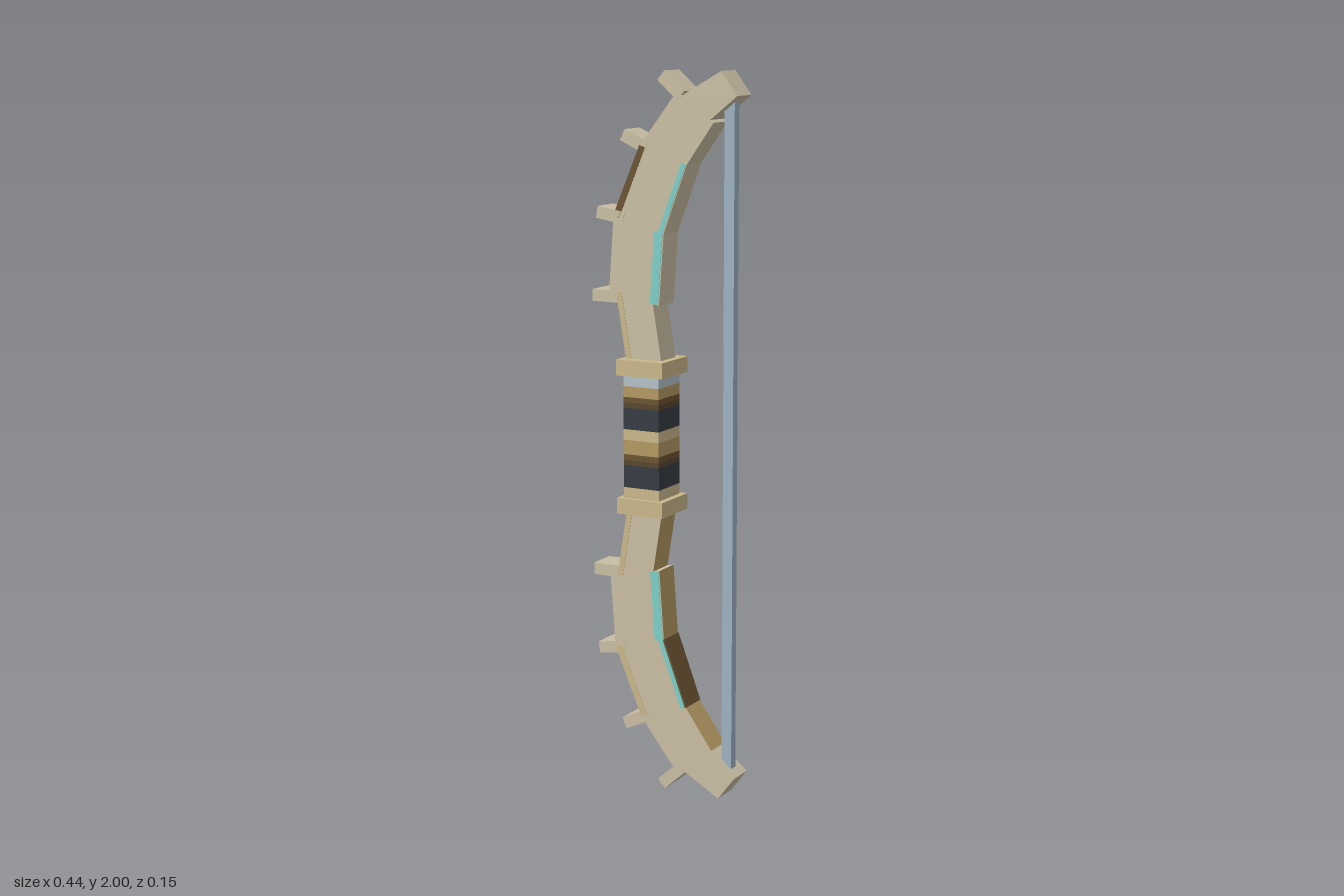
import * as THREE from 'three';

const mat = (name, color) => {
  const m = new THREE.MeshStandardMaterial({ color });
  m.name = name;
  return m;
};
const bone = mat('bone', 0xc9bea3);
const tan = mat('tan', 0xb39760);
const sand = mat('sand', 0xc9b78a);
const brown = mat('brown', 0x6a5230);
const darkBrown = mat('darkBrown', 0x57452b);
const teal = mat('teal', 0x7ccfc8);
const navy = mat('navy', 0x353a42);
const steel = mat('steel', 0x9db1c0);
const pale = mat('paleSteel', 0xb3c0c8);

const D = 0.041; // half depth of the limbs

// Box bent to a quad: corners are [outer start, inner start, inner end, outer end].
function quadBlock(name, q, z0, z1, material, lower) {
  const g = new THREE.BoxGeometry(1, 1, 1);
  const p = g.attributes.position;
  for (let i = 0; i < p.count; i++) {
    const inner = p.getX(i) > 0;
    const end = p.getY(i) > 0 !== lower;
    const c = q[end ? (inner ? 2 : 3) : (inner ? 1 : 0)];
    p.setXYZ(i, c[0], lower ? 2 - c[1] : c[1], p.getZ(i) > 0 ? z1 : z0);
  }
  g.computeVertexNormals();
  const m = new THREE.Mesh(g, material);
  m.name = name;
  return m;
}

function box(name, w, h, d, x, y, z, material) {
  const m = new THREE.Mesh(new THREE.BoxGeometry(w, h, d), material);
  m.position.set(x, y, z);
  m.name = name;
  return m;
}

const mix = (a, b, t) => [a[0] + (b[0] - a[0]) * t, a[1] + (b[1] - a[1]) * t];
// Part of a quad between two fractions of its width, outer to inner
const slice = (q, a, b) => [mix(q[0], q[1], a), mix(q[0], q[1], b), mix(q[3], q[2], b), mix(q[3], q[2], a)];

const segments = {
  root: [[-0.115, 1.2], [-0.005, 1.2], [-0.035, 1.385], [-0.148, 1.4]],
  belly: [[-0.17, 1.4], [-0.014, 1.37], [0, 1.565], [-0.155, 1.605]],
  shoulder: [[-0.155, 1.605], [0, 1.565], [0.07, 1.752], [-0.072, 1.8]],
  neck: [[-0.072, 1.8], [0.07, 1.752], [0.15, 1.865], [0.04, 1.945]],
  tip: [[0.04, 1.925], [0.13, 1.864], [0.22, 1.936], [0.172, 2.0]],
};

// Spikes: x, y, length, angle in degrees
const spikes = [
  [-0.18, 1.387, 0.085, 0],
  [-0.165, 1.609, 0.085, -9],
  [-0.09, 1.81, 0.08, -25],
  [0.022, 1.96, 0.08, -42],
];

function limb(lower) {
  const g = new THREE.Group();
  g.name = lower ? 'lowerLimb' : 'upperLimb';

  // Segments; the edge faces turned upward carry the tan colour
  for (const [name, q] of Object.entries(segments)) {
    const plain = name === 'tip';
    const innerMat = lower && !plain ? tan : bone;
    const outerMat = !lower && !plain ? tan : bone;
    g.add(quadBlock(name + 'Segment', q, -D, D, [innerMat, outerMat, bone, bone, bone, bone], lower));
  }

  // Thin inlays on both faces
  const inlay = (name, q, a, b, material) => {
    for (const s of [-1, 1]) {
      const z = [s * (D - 0.003), s * (D + 0.0015)].sort((m, n) => m - n);
      g.add(quadBlock(name, slice(q, a, b), z[0], z[1], material, lower));
    }
  };
  inlay('glowInlay', segments.belly, 0.82, 0.98, teal);
  inlay('glowInlay', segments.shoulder, 0.89, 0.98, teal);
  inlay('rootInlay', segments.root, 0.01, 0.16, sand);
  if (lower) inlay('edgeInlay', segments.shoulder, 0.01, 0.13, sand);

  // Dark notch strip wrapping one edge
  const notch = lower ? slice(segments.shoulder, 0.98, 1.012) : slice(segments.shoulder, -0.012, 0.11);
  g.add(quadBlock('darkNotch', notch, -D - 0.001, D + 0.001, brown, lower));

  // Spikes along the outer edge
  for (const [x, y, len, deg] of spikes) {
    const m = box('spike', len, 0.033, 2 * D + 0.002, x, lower ? 2 - y : y, 0, bone);
    m.rotation.z = THREE.MathUtils.degToRad(lower ? -deg : deg);
    g.add(m);
  }
  return g;
}

export function createModel() {
  const bow = new THREE.Group();
  bow.name = 'bow';
  bow.add(limb(false), limb(true));

  // Wrapped grip: bands from the top down, each to its lower height
  const grip = new THREE.Group();
  grip.name = 'grip';
  const bands = [
    [1.145, pale], [1.115, tan], [1.1, brown], [1.085, darkBrown], [1.025, navy], [0.995, sand],
    [0.955, tan], [0.938, brown], [0.925, darkBrown], [0.862, navy], [0.825, sand],
  ];
  let top = 1.18;
  for (const [bottom, material] of bands) {
    grip.add(box('gripBand', 0.11, top - bottom, 0.12, -0.06, (top + bottom) / 2, 0, material));
    top = bottom;
  }
  // Collars at both ends of the grip
  for (const y of [1.197, 0.81]) grip.add(box('collar', 0.143, 0.044, 0.146, -0.059, y, 0, sand));
  bow.add(grip);

  bow.add(box('string', 0.03, 1.84, 0.026, 0.183, 1, 0, steel));
  return bow;
}
